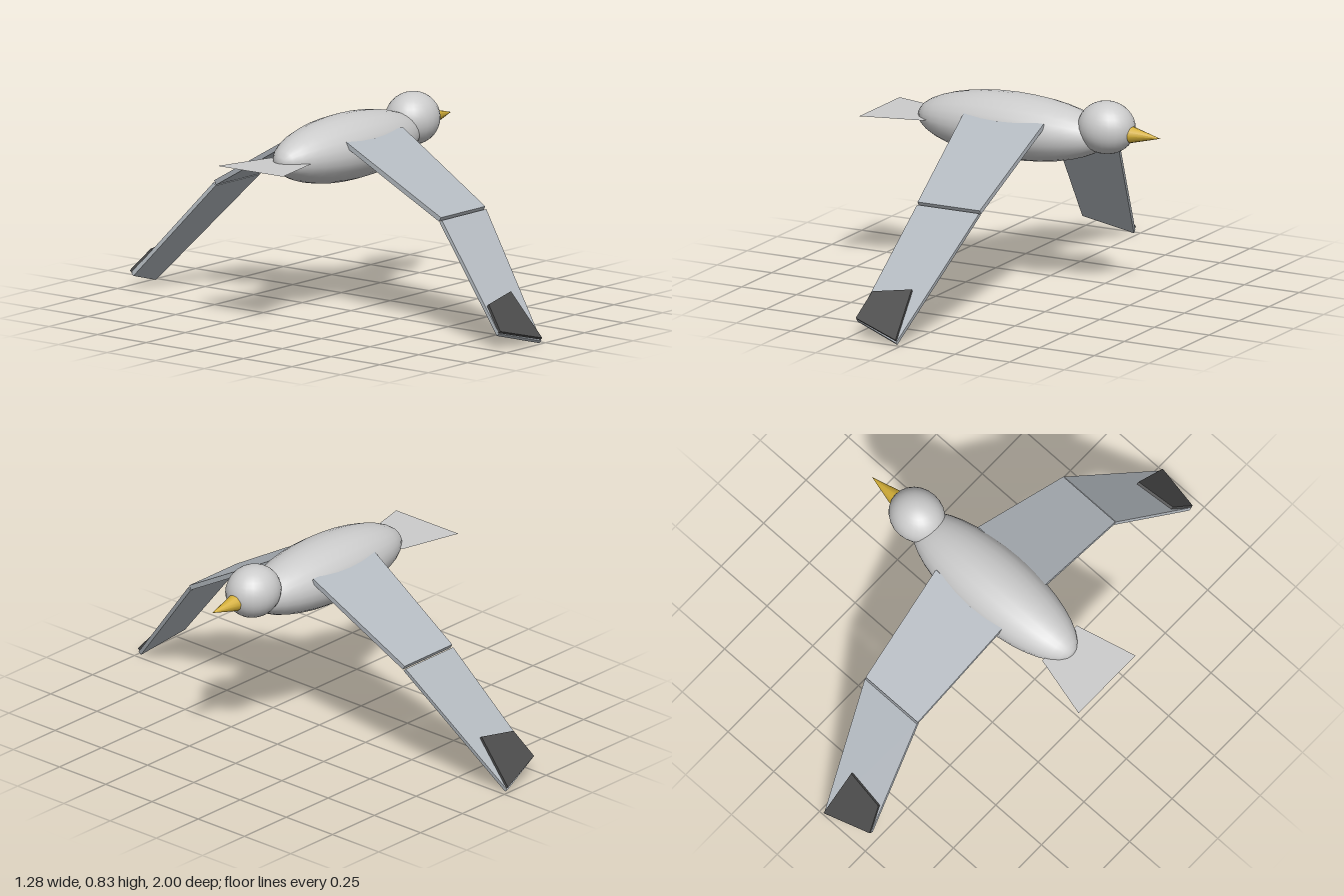
import * as THREE from 'three';

const material = (color, side = THREE.FrontSide) => new THREE.MeshStandardMaterial({ color, side });

// Thin slab over four corners: back inner, front inner, front outer, back outer.
// side = 1 gives the +z wing, side = -1 its mirror image.
function slab(corners, thickness, side) {
  let p = corners.map(([x, y, z]) => new THREE.Vector3(x, y, z * side));
  if (side < 0) p = [p[3], p[2], p[1], p[0]];
  const [a, b, c, d] = p;
  const normal = new THREE.Vector3()
    .crossVectors(c.clone().sub(b), b.clone().sub(a))
    .normalize();
  const geometry = new THREE.BoxGeometry(1, 1, 1);
  const pos = geometry.attributes.position;
  for (let i = 0; i < pos.count; i++) {
    const u = pos.getX(i) + 0.5, v = pos.getZ(i) + 0.5;
    const inner = a.clone().lerp(b, u);
    const outer = d.clone().lerp(c, u);
    inner.lerp(outer, v).addScaledVector(normal, pos.getY(i) * thickness);
    pos.setXYZ(i, inner.x, inner.y, inner.z);
  }
  geometry.computeVertexNormals();
  return geometry;
}

export function createModel() {
  const bird = new THREE.Group();
  bird.name = 'bird';

  const grey = material(0xcccccc);
  const wingGrey = material(0xb4bac0);
  const tipDark = material(0x4a4a4a);
  const gold = material(0xd4af37);

  function add(name, geometry, mat, parent = bird) {
    const mesh = new THREE.Mesh(geometry, mat);
    mesh.name = name;
    parent.add(mesh);
    return mesh;
  }

  // Body: long ellipsoid with its poles along x
  const body = new THREE.SphereGeometry(1, 24, 18).rotateZ(-Math.PI / 2);
  add('body', body.scale(0.43, 0.135, 0.157), grey).position.set(-0.03, 0.68, 0);

  // Head, slightly longer than wide
  const head = new THREE.SphereGeometry(1, 24, 18).scale(0.12, 0.108, 0.107);
  add('head', head, grey).position.set(0.394, 0.727, 0);

  // Beak
  const beak = new THREE.ConeGeometry(0.035, 0.134, 12).rotateZ(-Math.PI / 2);
  add('beak', beak, gold).position.set(0.573, 0.711, 0);

  // Tail: flat fan widening backwards
  const fan = new THREE.Shape([
    new THREE.Vector2(-0.385, -0.102),
    new THREE.Vector2(-0.385, 0.102),
    new THREE.Vector2(-0.645, 0.168),
    new THREE.Vector2(-0.645, -0.168),
  ]);
  const tail = new THREE.ShapeGeometry(fan).rotateX(-Math.PI / 2);
  add('tail', tail, material(0xcccccc, THREE.DoubleSide)).position.y = 0.678;

  // Wings: two drooping panels and a dark patch on the upper face of each tip
  for (const side of [1, -1]) {
    const wing = new THREE.Group();
    wing.name = side > 0 ? 'leftSideWing' : 'rightSideWing';
    bird.add(wing);
    add('innerWing', slab([
      [-0.19, 0.733, 0.12], [0.175, 0.733, 0.12],
      [0.134, 0.475, 0.578], [-0.15, 0.475, 0.578],
    ], 0.02, side), wingGrey, wing);
    add('outerWing', slab([
      [-0.15, 0.468, 0.582], [0.134, 0.468, 0.582],
      [-0.022, 0.007, 0.991], [-0.23, 0.064, 0.94],
    ], 0.016, side), wingGrey, wing);
    add('wingTip', slab([
      [-0.2, 0.169, 0.863], [-0.032, 0.193, 0.842],
      [-0.022, 0.02, 0.995], [-0.23, 0.074, 0.947],
    ], 0.016, side), tipDark, wing);
  }

  return bird;
}
